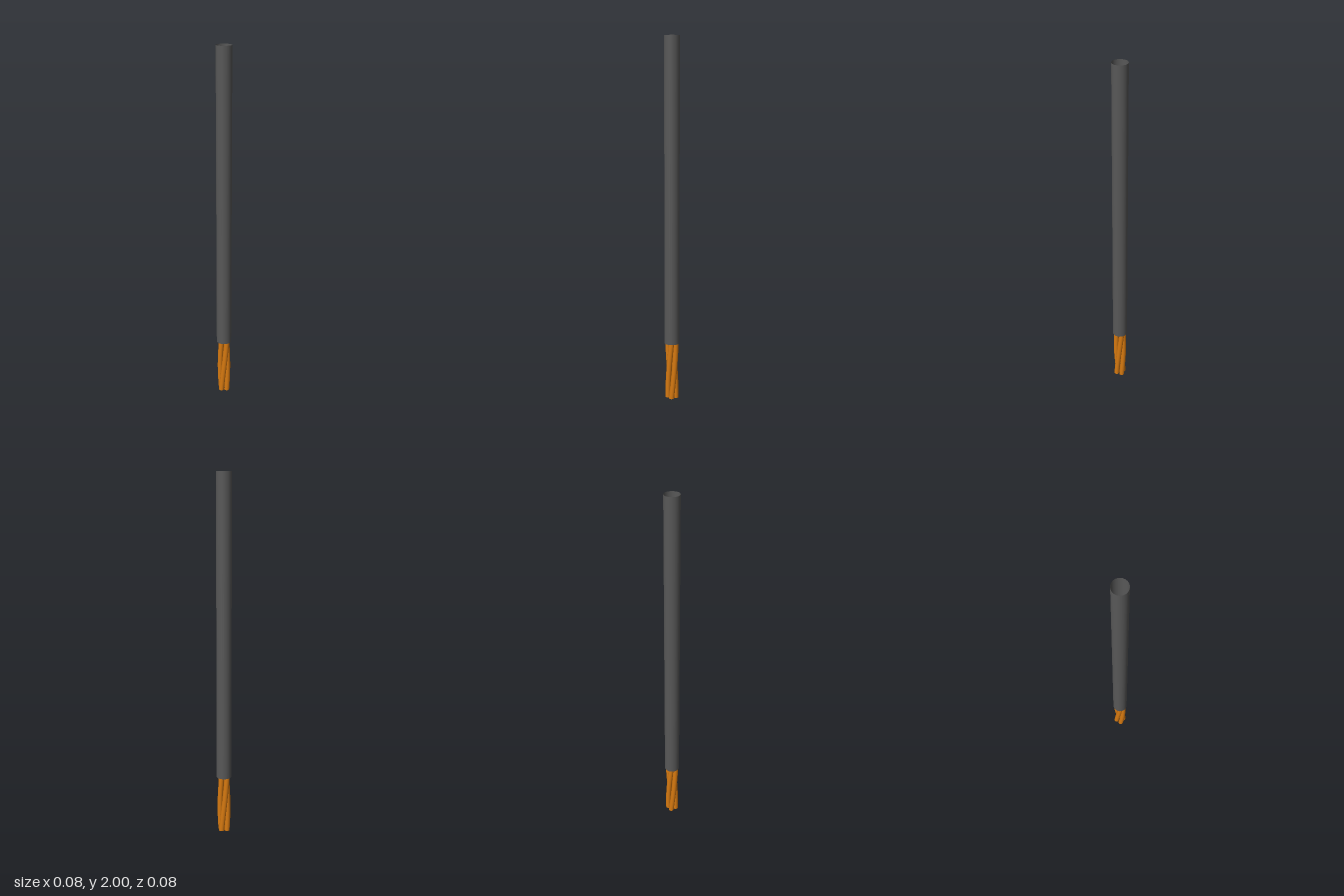
import * as THREE from 'three';

const copper = new THREE.MeshStandardMaterial({ name: 'copper', color: 0xd87a10 });
const sheathGrey = new THREE.MeshStandardMaterial({ name: 'sheath grey', color: 0x585858, side: THREE.DoubleSide });
const innerBlack = new THREE.MeshStandardMaterial({ name: 'inner black', color: 0x0c0c0c, side: THREE.DoubleSide });

const SHEATH_R = 0.042, SHEATH_BOTTOM = 0.32, TOP = 2;
const STRAND_R = 0.015, BUNDLE_R = 0.022, STRAND_TOP = 0.385;

// Turns every vertex about the y axis in proportion to its height
function twist(geometry) {
  const up = new THREE.Vector3(0, 1, 0);
  const v = new THREE.Vector3();
  const { position, normal } = geometry.attributes;
  for (let i = 0; i < position.count; i++) {
    const angle = ((position.getY(i) - 0.16) / 0.32) * Math.PI / 2;
    v.fromBufferAttribute(position, i).applyAxisAngle(up, angle);
    position.setXYZ(i, v.x, v.y, v.z);
    v.fromBufferAttribute(normal, i).applyAxisAngle(up, angle);
    normal.setXYZ(i, v.x, v.y, v.z);
  }
  return geometry;
}

export function createModel() {
  const cable = new THREE.Group();
  cable.name = 'cable';

  // Long outer sheath, open at the top
  const height = TOP - SHEATH_BOTTOM;
  const sheath = new THREE.Mesh(
    new THREE.CylinderGeometry(SHEATH_R, SHEATH_R, height, 24, 1, true), sheathGrey);
  sheath.name = 'sheath';
  sheath.position.y = SHEATH_BOTTOM + height / 2;
  cable.add(sheath);

  // Dark filling where the strands leave the sheath
  const filling = new THREE.Mesh(new THREE.CircleGeometry(SHEATH_R, 24), innerBlack);
  filling.name = 'filling';
  filling.rotation.x = Math.PI / 2;
  filling.position.y = SHEATH_BOTTOM + 0.008;
  cable.add(filling);

  // Four twisted copper strands with dark ends
  const strands = new THREE.Group();
  strands.name = 'strands';
  for (let i = 0; i < 4; i++) {
    const a = i * Math.PI / 2;
    const geometry = new THREE.CylinderGeometry(STRAND_R, STRAND_R, STRAND_TOP, 16, 16);
    geometry.translate(BUNDLE_R * Math.sin(a), STRAND_TOP / 2, BUNDLE_R * Math.cos(a));
    const strand = new THREE.Mesh(twist(geometry), [copper, innerBlack, innerBlack]);
    strand.name = 'strand' + (i + 1);
    strands.add(strand);
  }
  cable.add(strands);

  return cable;
}
